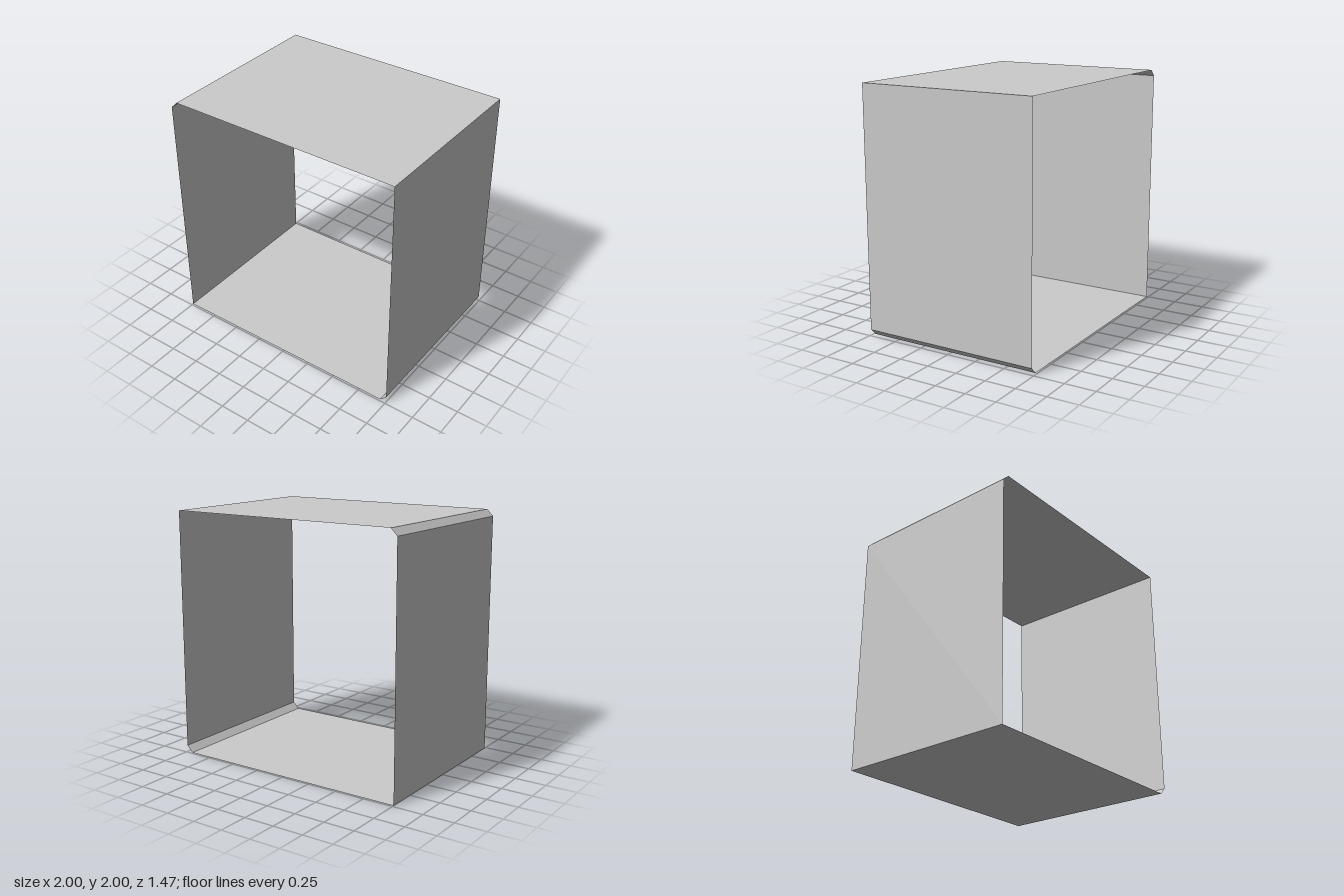
import * as THREE from 'three';

const HALF_DEPTH = 0.735;
const BEVEL = 0.053;

// Cross-section of the sleeve, anticlockwise seen from the front,
// with two opposite corners cut off. Each entry starts the named panel.
const SECTION = [
  ['floor', -1, 0],
  ['lowerBevel', 1 - BEVEL, 0],
  ['leftWall', 1, BEVEL],
  ['roof', 1, 2],
  ['upperBevel', -1 + BEVEL, 2],
  ['rightWall', -1, 2 - BEVEL],
];

// Thin rectangular panel spanning the full depth between two section points
function panel(name, [x0, y0], [x1, y1], material) {
  const geometry = new THREE.PlaneGeometry(Math.hypot(x1 - x0, y1 - y0), 2 * HALF_DEPTH);
  geometry.rotateX(Math.PI / 2); // faces down before it is turned along its edge
  geometry.rotateZ(Math.atan2(y1 - y0, x1 - x0));
  geometry.translate((x0 + x1) / 2, (y0 + y1) / 2, 0);
  const mesh = new THREE.Mesh(geometry, material);
  mesh.name = name;
  return mesh;
}

export function createModel() {
  const group = new THREE.Group();
  group.name = 'openSleeve';
  const material = new THREE.MeshStandardMaterial({
    color: 0xcccccc, flatShading: true, side: THREE.DoubleSide,
  });
  SECTION.forEach(([name, ...start], i) => {
    const [, ...end] = SECTION[(i + 1) % SECTION.length];
    group.add(panel(name, start, end, material));
  });
  return group;
}
